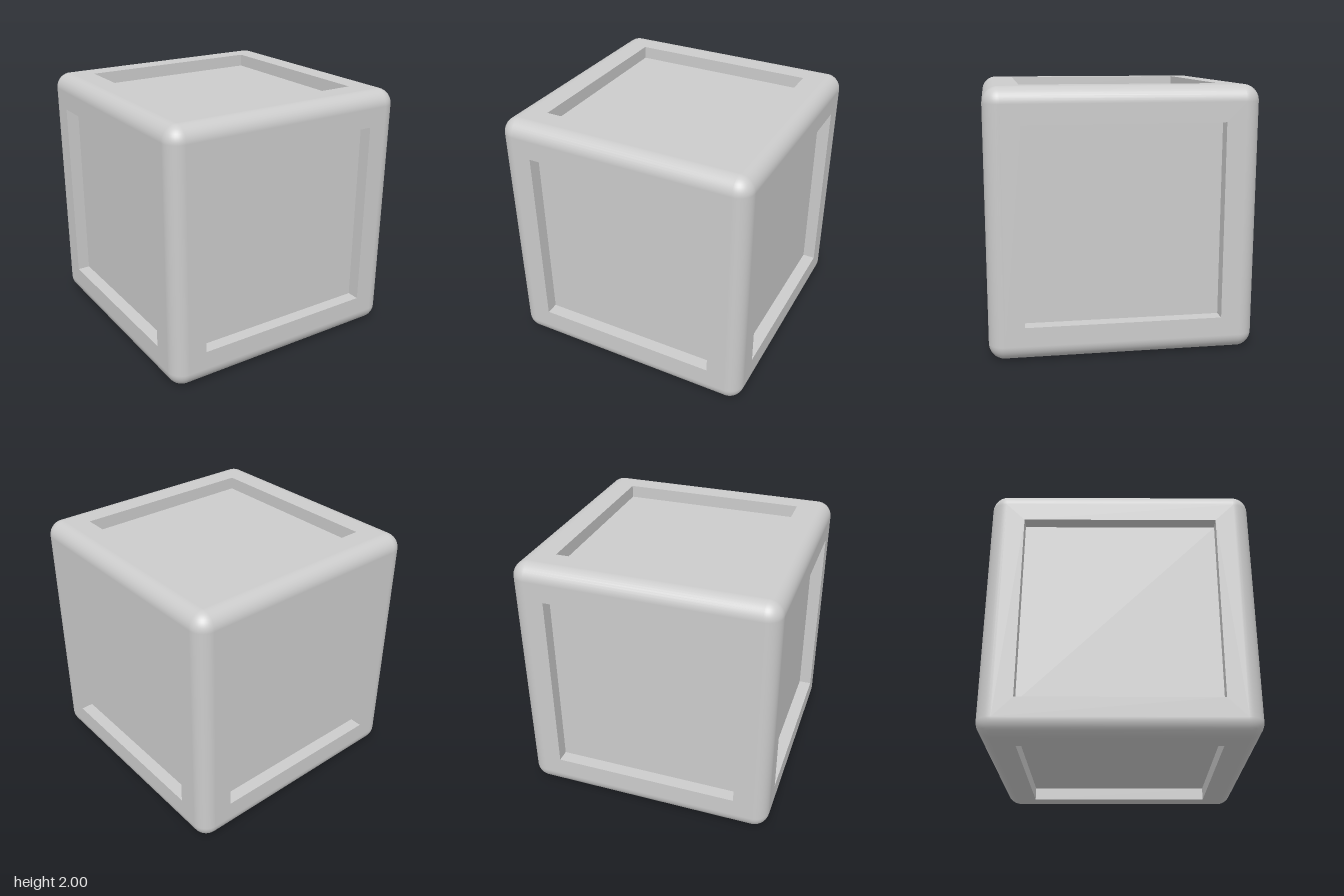
import * as THREE from 'three';
import { mergeGeometries } from 'three/addons/utils/BufferGeometryUtils.js';

const RADIUS = 0.12;        // rounding of edges and corners
const FLAT = 1 - RADIUS;    // half size of the flat part of each side
const RECESS = 0.735;       // half size of the square recess
const DEPTH = 0.1;          // depth of the recess
const Q = Math.PI / 2;

const material = new THREE.MeshStandardMaterial({ color: 0xcccccc });

function addMesh(parent, name, geometry) {
  const mesh = new THREE.Mesh(geometry, material);
  mesh.name = name;
  parent.add(mesh);
  return mesh;
}

function squarePoints(h) {
  return [[-h, -h], [h, -h], [h, h], [-h, h]].map(([x, y]) => new THREE.Vector2(x, y));
}

// One side facing +z: flat border, four recess walls and the sunken panel
function createSide(name) {
  const side = new THREE.Group();
  side.name = name;

  const border = new THREE.Shape(squarePoints(FLAT));
  border.holes.push(new THREE.Path(squarePoints(RECESS).reverse()));
  addMesh(side, 'border', new THREE.ShapeGeometry(border).translate(0, 0, 1));

  const walls = [0, 1, 2, 3].map((k) =>
    new THREE.PlaneGeometry(2 * RECESS, DEPTH)
      .rotateX(-Q)
      .translate(0, -RECESS, 1 - DEPTH / 2)
      .rotateZ(k * Q));
  addMesh(side, 'recessWalls', mergeGeometries(walls));

  addMesh(side, 'panel',
    new THREE.PlaneGeometry(2 * RECESS, 2 * RECESS).translate(0, 0, 1 - DEPTH));
  return side;
}

export function createModel() {
  const model = new THREE.Group();
  model.name = 'panelledCube';
  const cube = new THREE.Group();
  cube.name = 'cube';
  cube.position.y = 1;
  model.add(cube);

  // Six identical sides
  ['frontSide', 'leftSide', 'backSide', 'rightSide'].forEach((name, k) => {
    const side = createSide(name);
    side.rotation.y = k * Q;
    cube.add(side);
  });
  [['topSide', -Q], ['bottomSide', Q]].forEach(([name, angle]) => {
    const side = createSide(name);
    side.rotation.x = angle;
    cube.add(side);
  });

  // Twelve rounded edges: four along each axis
  const edges = [];
  for (let k = 0; k < 4; k++) {
    const edge = new THREE.CylinderGeometry(RADIUS, RADIUS, 2 * FLAT, 10, 1, true, 0, Q)
      .translate(FLAT, 0, FLAT)
      .rotateY(k * Q);
    edges.push(edge, edge.clone().rotateX(Q), edge.clone().rotateZ(Q));
  }
  addMesh(cube, 'roundedEdges', mergeGeometries(edges));

  // Eight rounded corners
  const corners = [];
  for (let k = 0; k < 4; k++) {
    const corner = new THREE.SphereGeometry(RADIUS, 10, 10, Q, Q, 0, Q)
      .translate(FLAT, FLAT, FLAT)
      .rotateY(k * Q);
    corners.push(corner, corner.clone().rotateZ(Math.PI));
  }
  addMesh(cube, 'roundedCorners', mergeGeometries(corners));

  return model;
}
